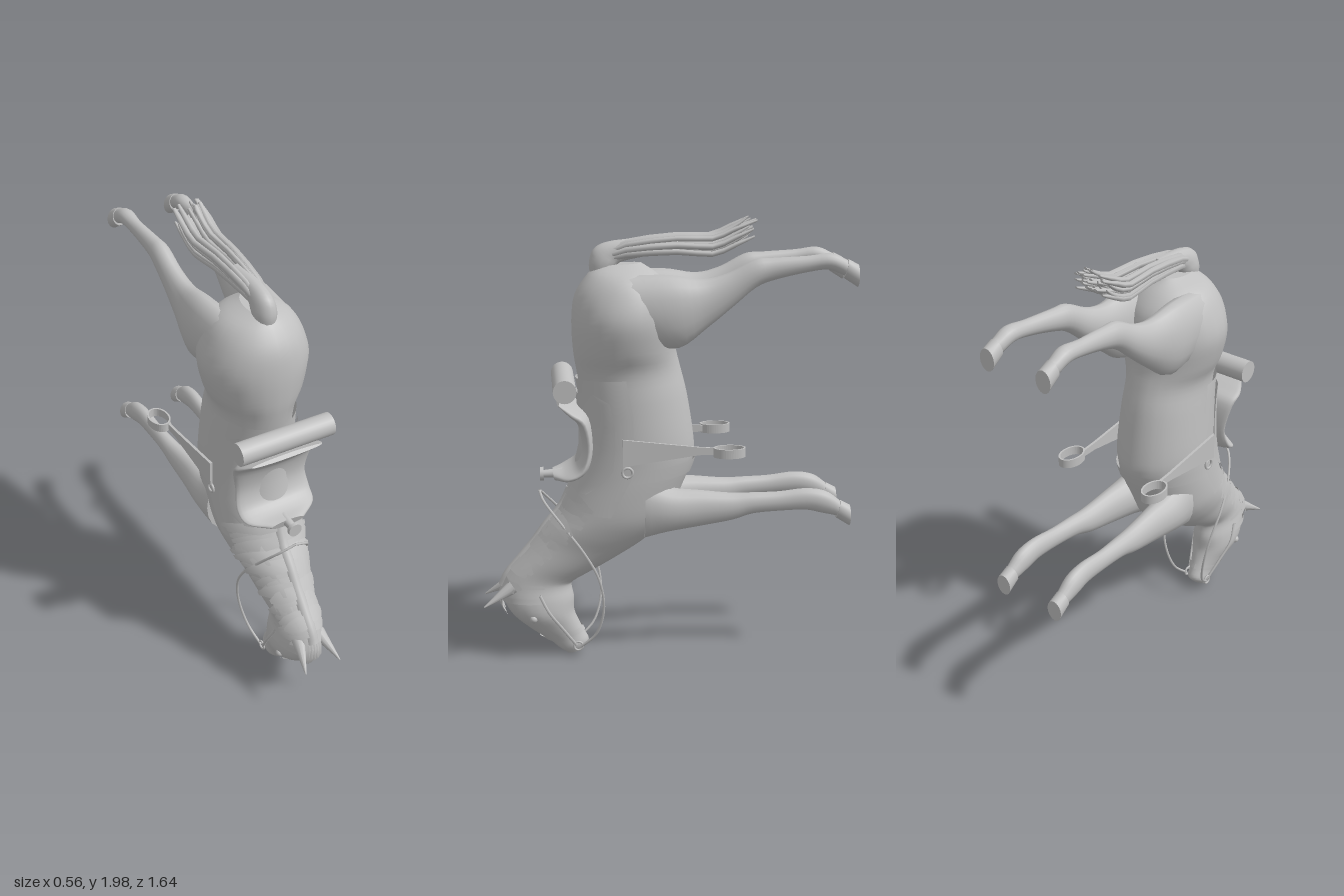
import * as THREE from 'three';

const coat = new THREE.MeshStandardMaterial({ color: 0xc0c0c0, side: THREE.DoubleSide });
coat.name = 'plain grey';
const V = (x, y, z) => new THREE.Vector3(x, y, z);

// Skin a list of point rows; closed rows may get end caps
function skin(rows, closed = true, caps = closed) {
  const n = rows[0].length, pos = [], idx = [];
  rows.forEach(r => r.forEach(p => pos.push(p.x, p.y, p.z)));
  for (let i = 0; i < rows.length - 1; i++)
    for (let j = 0; j < (closed ? n : n - 1); j++) {
      const a = i * n + j, b = i * n + (j + 1) % n;
      idx.push(a, a + n, b, b, a + n, b + n);
    }
  if (caps) [rows[0], rows[rows.length - 1]].forEach((row, end) => {
    const base = pos.length / 3, c = V(0, 0, 0);
    row.forEach(p => { c.addScaledVector(p, 1 / n); pos.push(p.x, p.y, p.z); });
    pos.push(c.x, c.y, c.z);
    for (let j = 0; j < n; j++) {
      const a = base + j, b = base + (j + 1) % n;
      if (end) idx.push(base + n, b, a); else idx.push(base + n, a, b);
    }
  });
  const g = new THREE.BufferGeometry();
  g.setAttribute('position', new THREE.Float32BufferAttribute(pos, 3));
  g.setIndex(idx);
  g.computeVertexNormals();
  return g;
}

// Station: [z, y of one edge, z, y of opposite edge, centre x, half width]
function onStation([pz, py, qz, qy, x, hw], t, off = 0) {
  const dz = (pz - qz) / 2, dy = (py - qy) / 2, k = (1 + off / Math.hypot(dz, dy)) * Math.cos(t);
  return V(x + (hw + off) * Math.sin(t), (py + qy) / 2 + dy * k, (pz + qz) / 2 + dz * k);
}
const ring = (s, n = 24) => Array.from({ length: n }, (_, j) => onStation(s, j / n * Math.PI * 2));
function smooth(stations) {
  const f = new THREE.CubicInterpolant(stations.map((_, i) => i), stations.flat(), 6);
  return u => Array.from(f.evaluate(u));
}
function loft(stations, steps = 4, n = 24) {
  const f = smooth(stations), rows = [], m = (stations.length - 1) * steps;
  for (let i = 0; i <= m; i++) rows.push(ring(f(i / steps), n));
  return skin(rows);
}

// Rump to nose: back edge, belly edge, half width
const BODY = [
  [.29, 1.785, .10, 1.795, 0, .05], [.34, 1.74, .02, 1.74, 0, .15], [.39, 1.66, -.04, 1.66, 0, .205],
  [.405, 1.55, -.05, 1.55, 0, .235], [.40, 1.42, -.05, 1.43, 0, .21], [.385, 1.32, -.07, 1.34, 0, .175],
  [.36, 1.18, -.10, 1.22, 0, .18], [.355, 1.0, -.13, 1.03, 0, .19], [.385, .88, -.13, .93, 0, .188],
  [.42, .78, -.08, .80, 0, .185], [.46, .70, -.02, .66, 0, .175], [.52, .63, .08, .56, 0, .15],
  [.57, .56, .20, .48, 0, .12], [.635, .48, .33, .405, 0, .10], [.695, .41, .41, .36, 0, .085],
  [.73, .34, .425, .335, 0, .085], [.73, .27, .415, .28, 0, .098], [.69, .20, .415, .215, 0, .1],
  [.605, .125, .395, .16, 0, .075], [.53, .07, .37, .11, 0, .056], [.485, .03, .35, .065, 0, .052],
  [.45, .006, .375, .03, 0, .04]];
const bodyAt = smooth(BODY);
// Body station whose back edge lies at height y
function stationAt(y) {
  let lo = 0, hi = BODY.length - 1;
  for (let i = 0; i < 24; i++) { const m = (lo + hi) / 2; if (bodyAt(m)[1] > y) lo = m; else hi = m; }
  return bodyAt(lo);
}
// Cloth or band over the body; rows: [height, z of side edge, offset]
function drape(rows, n = 32) {
  return skin(rows.map(([y, zEdge, off]) => {
    const s = stationAt(y);
    const c = (zEdge - (s[0] + s[2]) / 2) / ((s[0] - s[2]) / 2);
    const T = Math.acos(Math.max(-1, Math.min(1, c)));
    return Array.from({ length: n + 1 }, (_, j) => onStation(s, (j / n * 2 - 1) * T, off));
  }), false);
}
function rod(a, b, r0, r1, n = 16) {
  const d = b.clone().sub(a), g = new THREE.CylinderGeometry(r1, r0, d.length(), n);
  g.applyQuaternion(new THREE.Quaternion().setFromUnitVectors(V(0, 1, 0), d.normalize()));
  return g.translate(...a.clone().add(b).multiplyScalar(.5).toArray());
}
const tube = (pts, r) => new THREE.TubeGeometry(new THREE.CatmullRomCurve3(pts), 32, r, 6);

export function createModel() {
  const model = new THREE.Group();
  const add = (name, geo) => { const m = new THREE.Mesh(geo, coat); m.name = name; model.add(m); return m; };
  let seed = 7;
  const rnd = () => (seed = (seed * 16807) % 2147483647) / 2147483647;

  add('body', loft(BODY));

  // Legs, hooves and other paired parts
  const HIND = [
    [.10, 1.46, .22, 1.75, .11, .09], [-.05, 1.44, 0, 1.755, .125, .082], [-.18, 1.53, -.15, 1.735, .123, .06],
    [-.29, 1.62, -.26, 1.76, .125, .048], [-.38, 1.695, -.37, 1.815, .128, .044], [-.46, 1.728, -.45, 1.822, .13, .036],
    [-.60, 1.76, -.60, 1.83, .138, .03], [-.69, 1.77, -.70, 1.84, .14, .036], [-.76, 1.745, -.775, 1.81, .142, .03]];
  const FORE = [
    [.10, .58, .10, .86, .10, .08], [0, .61, -.02, .815, .113, .074], [-.15, .635, -.15, .80, .12, .056],
    [-.29, .66, -.29, .785, .125, .045], [-.38, .688, -.38, .785, .13, .038], [-.50, .698, -.50, .788, .135, .032],
    [-.62, .70, -.62, .80, .138, .034], [-.69, .685, -.71, .785, .14, .036], [-.76, .67, -.775, .74, .142, .03]];
  for (const s of [1, -1]) {
    const side = s > 0 ? 'left' : 'right';
    const sided = list => list.map(q => q.map((v, i) => i === 4 ? v * s : v));
    add(side + 'HindLeg', loft(sided(HIND), 4, 16));
    add(side + 'ForeLeg', loft(sided(FORE), 4, 16));
    for (const [name, dy] of [['HindHoof', 0], ['ForeHoof', -1.073]])
      add(side + name, loft(sided([[-.757, 1.735 + dy, -.775, 1.815 + dy, .142, .034],
        [-.82, 1.695 + dy, -.82, 1.792 + dy, .142, .037]]), 1, 16));

    const ear = rod(V(.05 * s, .35, .69), V(.088 * s, .27, .82), .032, .003, 10);
    add(side + 'Ear', ear);
    add(side + 'Eye', new THREE.SphereGeometry(.018, 12, 8).translate(.088 * s, .205, .60));

    // Stirrup leather and stirrup
    const strap = new THREE.Shape([[.20, 1.06], [-.13, 1.02], [-.20, 1.015], [-.20, .985], [-.13, .985], [.20, .94]]
      .map(p => new THREE.Vector2(...p)));
    const leather = new THREE.ExtrudeGeometry(strap, { depth: .012, bevelEnabled: false });
    add(side + 'StirrupLeather', leather.rotateY(-Math.PI / 2).translate(s > 0 ? .216 : -.204, 0, 0));
    const loop = new THREE.Shape().absellipse(0, 0, .048, .07, 0, Math.PI * 2);
    loop.holes.push(new THREE.Path().absellipse(0, 0, .04, .062, 0, Math.PI * 2));
    const stirrup = new THREE.ExtrudeGeometry(loop, { depth: .04, bevelEnabled: false, curveSegments: 20 });
    add(side + 'Stirrup', stirrup.rotateX(-Math.PI / 2).translate(.23 * s, .98, -.26));
    add(side + 'GirthRing', new THREE.TorusGeometry(.022, .006, 6, 20).rotateY(Math.PI / 2).translate(.202 * s, .91, .18));

    // Bridle cheek strap, bit ring and rein
    add(side + 'CheekStrap', tube([V(.098 * s, .32, .57), V(.108 * s, .24, .53), V(.085 * s, .15, .47), V(.058 * s, .06, .41)], .007));
    add(side + 'BitRing', new THREE.TorusGeometry(.02, .005, 6, 16).rotateY(Math.PI / 2).translate(.06 * s, .055, .40));
    add(side + 'Rein', tube([V(0, .785, .56), V(.06 * s, .755, .545), V(.125 * s, .65, .46), V(.15 * s, .53, .37),
      V(.14 * s, .40, .305), V(.115 * s, .25, .285), V(.085 * s, .12, .32), V(.06 * s, .05, .39)], .006));
  }
  add('noseBand', drape([[.098, -1, .006], [.075, -1, .006]]));
  add('browBand', drape([[.30, .56, .008], [.275, .56, .008]]));
  add('crownBand', drape([[.375, .55, .008], [.35, .55, .008]]));

  // Saddle
  add('saddleBlanket', drape([[1.30, .18, .012], [1.22, .165, .015], [1.13, .15, .015], [1.0, .15, .015],
    [.86, .16, .015], [.79, .20, .015], [.715, .25, .015]]));
  add('saddleSkirt', drape([[1.24, .30, .026], [1.20, .24, .027], [1.1, .22, .027], [1.0, .22, .027],
    [.9, .23, .027], [.84, .28, .027], [.80, .34, .025]]));
  add('girth', drape([[.885, -1, .009], [.86, -1, .009], [.832, -1, .009]], 48));
  add('saddleSeat', loft([[.478, 1.198, .465, 1.212, 0, .17], [.435, 1.15, .40, 1.185, 0, .20], [.39, 1.10, .335, 1.14, 0, .195],
    [.372, 1.0, .315, 1.0, 0, .172], [.395, .925, .345, .895, 0, .18], [.445, .89, .42, .85, 0, .165],
    [.50, .88, .49, .84, 0, .08]], 4, 28));
  add('saddleHornStem', rod(V(0, .865, .44), V(0, .86, .545), .024, .017));
  add('saddleHornCap', rod(V(0, .861, .54), V(0, .861, .556), .031, .031, 20));
  add('bedroll', rod(V(-.22, 1.275, .445), V(.22, 1.275, .445), .05, .05, 28));

  // Crest ridge and overlapping mane locks
  add('crest', loft([.79, .71, .63, .55, .47, .40, .34].map(y => {
    const s = stationAt(y);
    return [s[0] + .025, y + .012, s[0] - .06, y - .03, 0, .034];
  }), 3, 12));
  const mane = new THREE.Group();
  mane.name = 'mane';
  model.add(mane);
  for (const s of [1, -1]) for (let i = 0; i < 26; i++) {
    const y = .80 - i * .0172, reach = (s < 0 ? 1.2 : 1.0) * (.75 + .35 * rnd()), lift = .012 + .014 * rnd();
    const rows = [0, .35, .7, 1].map(k => {
      const w = [.022, .026, .02, .006][Math.round(k * 3)], mid = y - .035 * k * k;
      return [mid + w, mid - w].map(h => onStation(stationAt(h), s * (.05 + reach * k), lift + .008 * k));
    });
    const lock = new THREE.Mesh(skin(rows, false), coat);
    lock.name = 'maneLock';
    mane.add(lock);
  }
  for (let i = -2; i <= 2; i++) {
    const lock = new THREE.Mesh(skin([.38, .32, .26, .20 + .01 * Math.abs(i)].map((y, k) =>
      [-1, 1].map(e => onStation(stationAt(y), i * .13 + e * [.1, .12, .1, .02][k], .016 + .004 * k))), false), coat);
    lock.name = 'forelock';
    mane.add(lock);
  }

  // Tail: dock and flat hair strands
  add('tailDock', loft([[.32, 1.74, .22, 1.76, 0, .045], [.325, 1.80, .20, 1.79, 0, .05],
    [.30, 1.86, .18, 1.80, 0, .045], [.22, 1.89, .14, 1.81, 0, .04], [.05, 1.90, .03, 1.83, 0, .04]], 4, 14));
  const tail = new THREE.Group();
  tail.name = 'tail';
  model.add(tail);
  for (let i = 0; i < 34; i++) {
    const ax = (rnd() * 2 - 1), ay = (rnd() * 2 - 1), end = -.34 - .055 * rnd(), w = .008 + .008 * rnd();
    const strand = [[.27, 1.815, .3], [.17, 1.855, .6], [-.05, 1.875, .85], [-.2, 1.87, 1], [-.29, 1.905, 1.05], [end, 1.945, 1.05]]
      .map(([z, y, f], k) => {
        const h = [.012, .016, .014, .013, .012, .005][k], cy = y + ay * .038 * f;
        return [z, cy - h, z, cy + h, ax * .068 * f, k === 5 ? w * .6 : w];
      });
    const hair = new THREE.Mesh(loft(strand, 2, 6), coat);
    hair.name = 'tailStrand';
    tail.add(hair);
  }
  return model;
}
